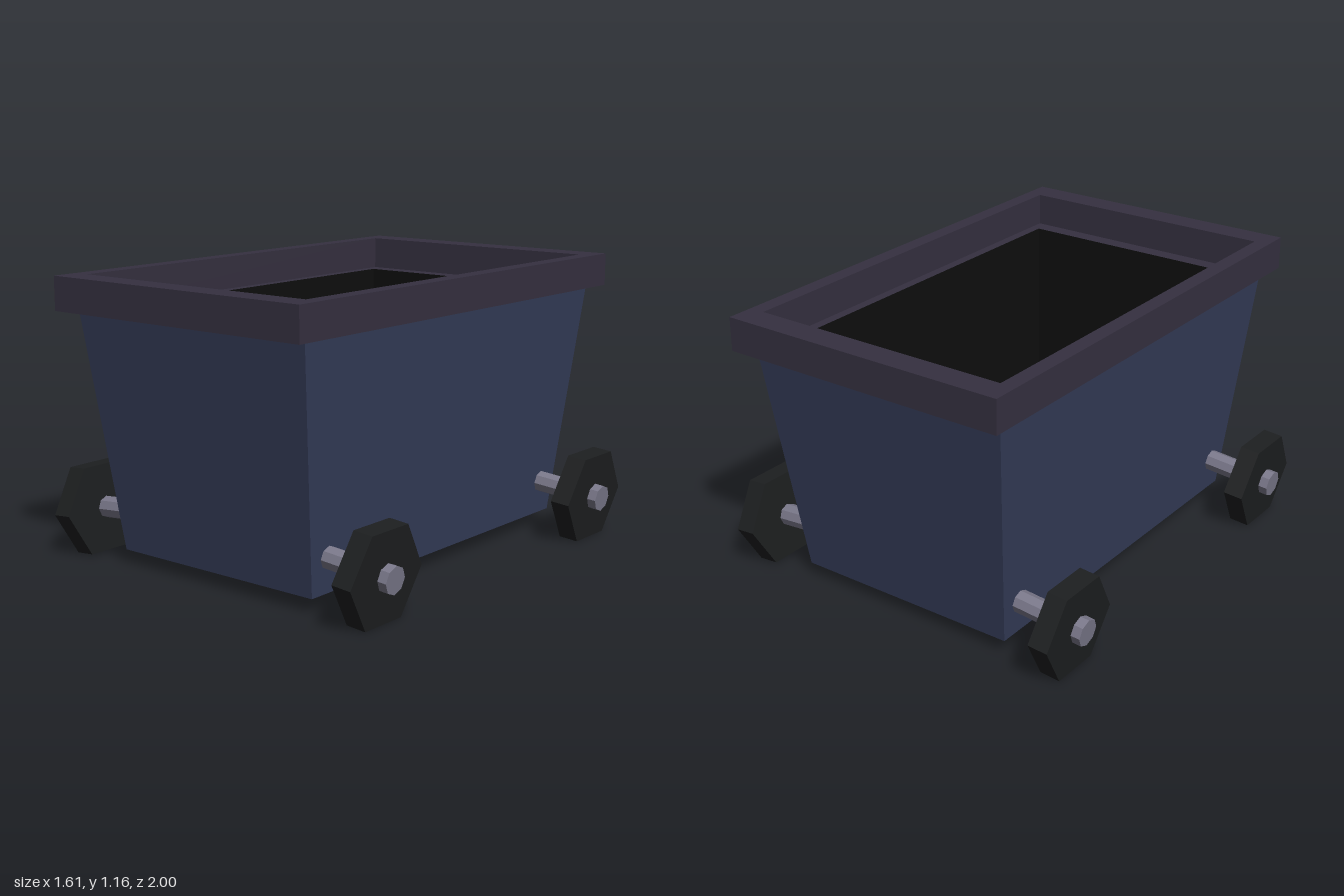
import * as THREE from 'three';

const paint = (color) => new THREE.MeshStandardMaterial({ color, flatShading: true });

// Skin a series of rectangles [halfWidth, halfDepth, y]; a zero size closes the end.
function rectLoft(rings) {
  const corner = ([hx, hz, y], i) => {
    const [sx, sz] = [[1, 1], [1, -1], [-1, -1], [-1, 1]][i % 4];
    return [sx * hx, y, sz * hz];
  };
  const pos = [];
  for (let r = 0; r < rings.length - 1; r++) {
    const lo = rings[r], hi = rings[r + 1];
    for (let i = 0; i < 4; i++) {
      const a = corner(lo, i), b = corner(lo, i + 1);
      const c = corner(hi, i + 1), d = corner(hi, i);
      if (lo[0] > 0) pos.push(...a, ...b, ...c);
      if (hi[0] > 0) pos.push(...a, ...c, ...d);
    }
  }
  const geo = new THREE.BufferGeometry();
  geo.setAttribute('position', new THREE.Float32BufferAttribute(pos, 3));
  geo.computeVertexNormals();
  return geo;
}

// Cylinder lying along x, spanning x0 to x1
function rod(radius, x0, x1, sides) {
  return new THREE.CylinderGeometry(radius, radius, x1 - x0, sides)
    .rotateZ(-Math.PI / 2)
    .translate((x0 + x1) / 2, 0, 0);
}

export function createModel() {
  const cart = new THREE.Group();
  cart.name = 'cart';
  const add = (parent, name, geo, mat) => {
    const mesh = new THREE.Mesh(geo, mat);
    mesh.name = name;
    parent.add(mesh);
  };

  const blue = paint(0x353d5a), purple = paint(0x353040);
  const black = paint(0x0d0d0d), tyre = paint(0x1d1f20), steel = paint(0x7a788a);

  // Tapered tub, outside
  add(cart, 'tub', rectLoft([[0, 0, 0.06], [0.485, 0.79, 0.06], [0.57, 0.92, 1.03]]), blue);

  // Dark hollow inside the tub
  add(cart, 'cavity', rectLoft([[0.51, 0.825, 1.03], [0.43, 0.72, 0.12], [0, 0, 0.12]]), black);

  // Overhanging rim, with the narrow ledge at its inner foot
  add(cart, 'rim', rectLoft([
    [0.565, 0.915, 1.03], [0.615, 1, 1.03], [0.615, 1, 1.165],
    [0.55, 0.89, 1.165], [0.55, 0.89, 1.03], [0.51, 0.825, 1.03],
  ]), purple);

  // Four wheels on splayed stub axles
  for (const side of [1, -1]) {
    for (const end of [1, -1]) {
      const unit = new THREE.Group();
      unit.name = `${side > 0 ? 'left' : 'right'}${end > 0 ? 'Front' : 'Back'}Wheel`;
      const span = (r, a, b, n) => (side > 0 ? rod(r, a, b, n) : rod(r, -b, -a, n));
      add(unit, 'wheel', span(0.205, -0.042, 0.042, 6), tyre);
      add(unit, 'axle', span(0.045, -0.27, 0, 8), steel);
      add(unit, 'hub', span(0.055, 0, 0.08, 8), steel);
      unit.position.set(side * 0.722, 0.182, end * 0.71);
      unit.rotation.z = -side * 0.085;
      cart.add(unit);
    }
  }
  return cart;
}
